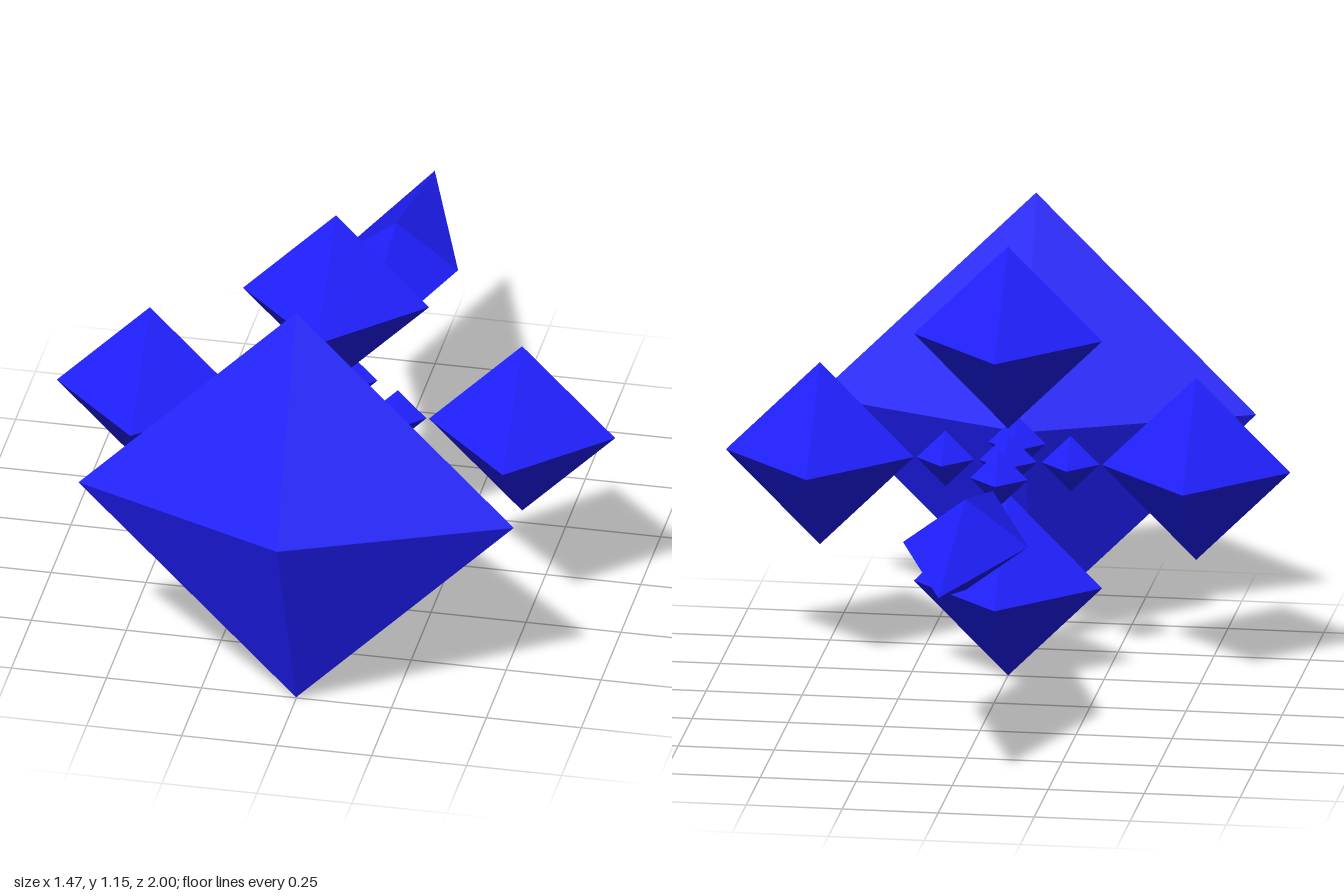
import * as THREE from 'three';

export function createModel() {
  const group = new THREE.Group();
  const material = new THREE.MeshStandardMaterial({ color: 0x1f1fff, flatShading: true });
  const unit = new THREE.OctahedronGeometry(1);

  // Centre of the crystal cluster
  const cy = 0.577, cz = 0.25;

  // Octahedron placed relative to the cluster centre, with a half-size per axis
  function crystal(name, [x, y, z], [rx, ry, rz]) {
    const mesh = new THREE.Mesh(unit, material);
    mesh.name = name;
    mesh.position.set(x, cy + y, cz + z);
    mesh.scale.set(rx, ry, rz);
    group.add(mesh);
  }

  // Wide front shield and long rear spike
  crystal('frontShield', [0, 0, 0.504], [0.573, 0.573, 0.245]);
  crystal('rearSpike', [0, 0, -0.76], [0.163, 0.122, 0.487]);

  // Four medium crystals around the centre
  const medium = [0.245, 0.245, 0.245];
  crystal('leftCrystal', [0.49, 0, 0], medium);
  crystal('rightCrystal', [-0.49, 0, 0], medium);
  crystal('topCrystal', [0, 0.332, 0], medium);
  crystal('bottomCrystal', [0, -0.332, 0], medium);

  // Small core crystals in a horizontal cross
  const small = [0.075, 0.075, 0.075];
  crystal('coreCentre', [0, 0, 0], small);
  for (const s of [-1, 1]) {
    crystal(s > 0 ? 'coreLeft' : 'coreRight', [s * 0.163, 0, 0], small);
    crystal(s > 0 ? 'coreFront' : 'coreBack', [0, 0, s * 0.163], small);
  }

  return group;
}
